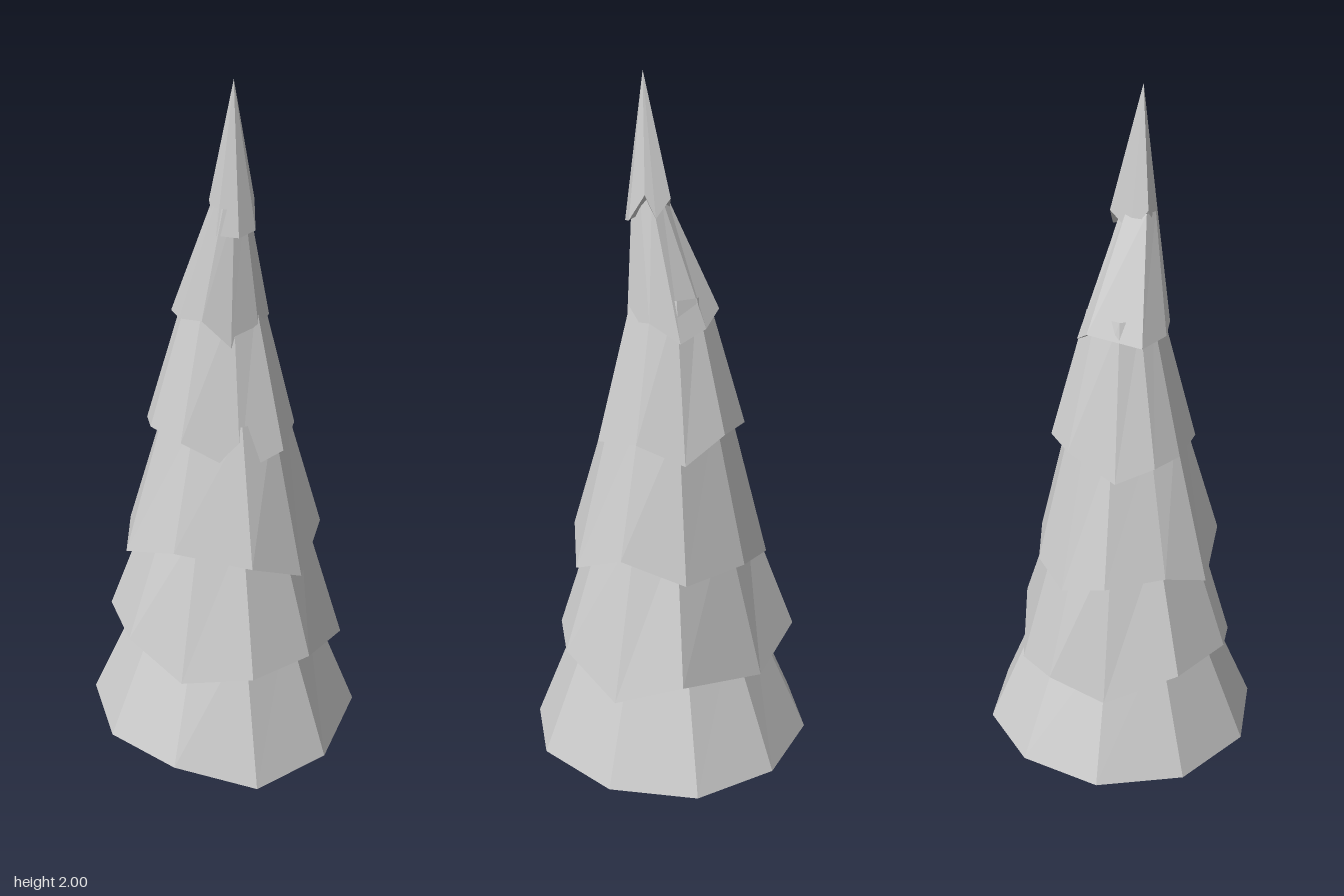
import * as THREE from 'three';

const material = new THREE.MeshStandardMaterial({ color: 0xcccccc, flatShading: true });

// One skirt of branches: an uneven rim of [x, y, z] corners, tapering to a
// scaled copy of itself (centred on x = 0, z = topZ) at height topY.
// Scale 0 closes it to a point.
function makeTier(name, rim, topY, topZ, scale) {
  const n = rim.length;
  const top = rim.map(([x, , z]) => [x * scale, topY, topZ + z * scale]);
  const centre = [0, 1, 2].map((k) => rim.reduce((sum, p) => sum + p[k], 0) / n);
  const positions = [];
  const tri = (a, b, c) => positions.push(...a, ...b, ...c);
  for (let i = 0; i < n; i++) {
    const j = (i + 1) % n;
    tri(rim[j], rim[i], top[i]);
    if (scale > 0) tri(rim[j], top[i], top[j]);
    tri(centre, rim[i], rim[j]); // underside
  }
  const geometry = new THREE.BufferGeometry();
  geometry.setAttribute('position', new THREE.Float32BufferAttribute(positions, 3));
  geometry.computeVertexNormals();
  const mesh = new THREE.Mesh(geometry, material);
  mesh.name = name;
  return mesh;
}

export function createModel() {
  const tree = new THREE.Group();
  tree.name = 'pineTree';

  // Flared trunk foot with a narrow neck
  const profile = [[0, 0], [0.065, 0], [0.075, 0.018], [0.032, 0.055], [0.034, 0.14]];
  const trunk = new THREE.Mesh(
    new THREE.LatheGeometry(profile.map(([r, y]) => new THREE.Vector2(r, y)), 8), material);
  trunk.name = 'trunk';
  tree.add(trunk);

  // Rims run from the back, round by +x, to the front and on by -x
  tree.add(makeTier('bottomBranches', [
    [0, 0.115, -0.41], [0.23, 0.1, -0.34], [0.38, 0.088, -0.15], [0.375, 0.085, 0.1],
    [0.205, 0.075, 0.325], [-0.025, 0.07, 0.405], [-0.24, 0.112, 0.3],
    [-0.38, 0.115, 0.11], [-0.38, 0.115, -0.14], [-0.23, 0.115, -0.34],
  ], 0.48, 0, 0.6));

  tree.add(makeTier('secondBranches', [
    [-0.065, 0.42, -0.36], [0.13, 0.35, -0.29], [0.33, 0.4, -0.1], [0.33, 0.335, 0.09],
    [0.17, 0.395, 0.265], [-0.015, 0.39, 0.325], [-0.2, 0.355, 0.24],
    [-0.315, 0.43, 0.09], [-0.325, 0.43, -0.11], [-0.2, 0.36, -0.28],
  ], 0.8, 0, 0.6));

  tree.add(makeTier('thirdBranches', [
    [-0.035, 0.66, -0.28], [0.11, 0.68, -0.235], [0.255, 0.67, -0.095], [0.255, 0.73, 0.085],
    [0.15, 0.65, 0.235], [-0.005, 0.72, 0.275], [-0.2, 0.745, 0.175],
    [-0.3, 0.68, 0.02], [-0.26, 0.72, -0.1], [-0.16, 0.7, -0.235],
  ], 1.1, 0, 0.6));

  tree.add(makeTier('fourthBranches', [
    [0, 1.06, -0.215], [0.11, 1.06, -0.175], [0.185, 0.99, -0.08], [0.18, 1.04, 0.055],
    [0.11, 1.02, 0.175], [-0.015, 0.975, 0.19], [-0.16, 1.05, 0.115],
    [-0.215, 1.05, -0.005], [-0.205, 1.04, -0.09], [-0.14, 1.0, -0.175],
  ], 1.42, 0, 0.5));

  tree.add(makeTier('fifthBranches', [
    [0, 1.38, -0.14], [0.065, 1.34, -0.115], [0.12, 1.31, -0.055], [0.11, 1.36, 0.03],
    [0.06, 1.35, 0.1], [-0.02, 1.31, 0.115], [-0.09, 1.38, 0.08],
    [-0.135, 1.37, 0.02], [-0.135, 1.36, -0.07],
  ], 1.68, 0.055, 0.37));

  // Pointed crown, leaning slightly forward
  tree.add(makeTier('crown', [
    [0.04, 1.68, -0.015], [0.065, 1.63, 0.02], [0.06, 1.69, 0.05], [0.05, 1.62, 0.095],
    [0, 1.61, 0.115], [-0.05, 1.61, 0.08], [-0.055, 1.69, 0.03], [-0.02, 1.63, 0],
  ], 2, 0.065, 0));

  return tree;
}
